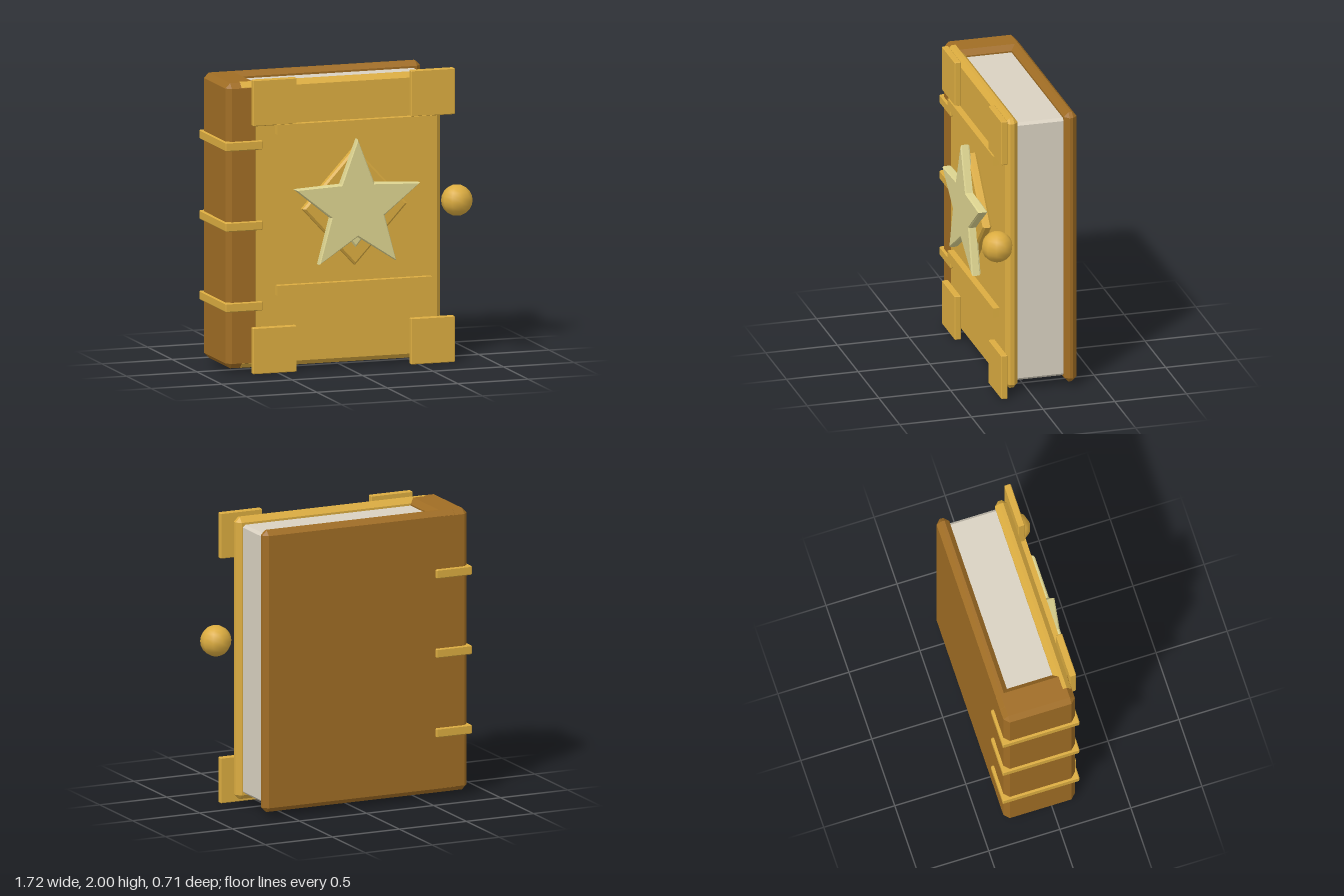
import * as THREE from 'three';
import { ConvexGeometry } from 'three/addons/geometries/ConvexGeometry.js';

function material(name, color) {
  const m = new THREE.MeshStandardMaterial({ color });
  m.name = name;
  return m;
}

// Box between two corners with every edge chamfered by c
function chamferBox(min, max, c) {
  const h = max.map((v, i) => (v - min[i]) / 2);
  const mid = max.map((v, i) => (v + min[i]) / 2);
  const points = [];
  for (const sx of [-1, 1]) for (const sy of [-1, 1]) for (const sz of [-1, 1]) {
    for (let axis = 0; axis < 3; axis++) {
      const p = h.map((v, i) => (i === axis ? v : v - c));
      points.push(new THREE.Vector3(mid[0] + sx * p[0], mid[1] + sy * p[1], mid[2] + sz * p[2]));
    }
  }
  return new ConvexGeometry(points);
}

// Bevelled plate cut from an outline, spanning z0 to z1
function plate(points, z0, z1, bevel) {
  const shape = new THREE.Shape(points.map(([x, y]) => new THREE.Vector2(x, y)));
  const geo = new THREE.ExtrudeGeometry(shape, {
    depth: z1 - z0 - 2 * bevel, bevelEnabled: true, bevelSegments: 1,
    bevelSize: bevel, bevelThickness: bevel, bevelOffset: -bevel,
  });
  return geo.translate(0, 0, z0 + bevel);
}

const rhombus = (rx, ry) => [[rx, 0], [0, ry], [-rx, 0], [0, -ry]];

export function createModel() {
  const gold = material('gold', 0xdbac40);
  const leather = material('brown leather', 0xa06d24);
  const paper = material('paper', 0xd9d1c1);
  const pale = material('pale gold', 0xddd490);

  const book = new THREE.Group();
  book.name = 'book';
  const add = (name, geo, mat, x = 0, y = 0, z = 0) => {
    const mesh = new THREE.Mesh(geo, mat);
    mesh.name = name;
    mesh.position.set(x, y, z);
    book.add(mesh);
  };

  // Covers, spine and page block
  add('spine', chamferBox([-0.845, 0.035, -0.336], [-0.61, 1.975, 0.167], 0.035), leather);
  add('backCover', chamferBox([-0.77, 0.035, -0.335], [0.68, 1.975, -0.247], 0.032), leather);
  add('frontCover', chamferBox([-0.77, 0.034, 0.075], [0.68, 1.976, 0.165], 0.032), gold);
  add('pages', chamferBox([-0.7, 0.075, -0.27], [0.64, 1.93, 0.1], 0.018), paper);

  // Raised bands around the spine
  for (const y of [0.455, 1.003, 1.55]) {
    add('spineBand', chamferBox([-0.86, y - 0.031, -0.355], [-0.595, y + 0.031, 0.185], 0.006), gold);
  }

  // Corner plates
  for (const x of [-0.522, 0.6]) for (const y of [0.157, 1.843]) {
    add('cornerPlate', chamferBox([x - 0.155, y - 0.157, 0.175], [x + 0.155, y + 0.157, 0.22], 0.005), gold);
  }

  // Trim bars across the front cover
  for (const y of [0.56, 1.655]) {
    add('trimBar', new THREE.BoxGeometry(1.1, 0.068, 0.045), gold, 0.04, y, 0.207);
  }

  // Emblem: rhombus base, small inner rhombus, star
  const cx = 0.04, cy = 1.105;
  add('emblemBase', plate(rhombus(0.37, 0.4), 0.183, 0.245, 0.014), gold, cx, cy);
  add('emblemInset', plate(rhombus(0.23, 0.277), 0.2, 0.257, 0.012), pale, cx, cy);
  const star = [];
  for (let i = 0; i < 10; i++) {
    const r = i % 2 ? 0.2 : 0.465;
    const a = Math.PI / 2 + (i * Math.PI) / 5;
    star.push([r * Math.cos(a), r * Math.sin(a)]);
  }
  add('star', plate(star, 0.235, 0.298, 0.009), pale, cx, cy);

  // Round clasp knob
  const knob = new THREE.SphereGeometry(0.106, 10, 10).rotateY(Math.PI / 2);
  add('claspKnob', knob, gold, 0.757, 1.107, 0.25);

  return book;
}
